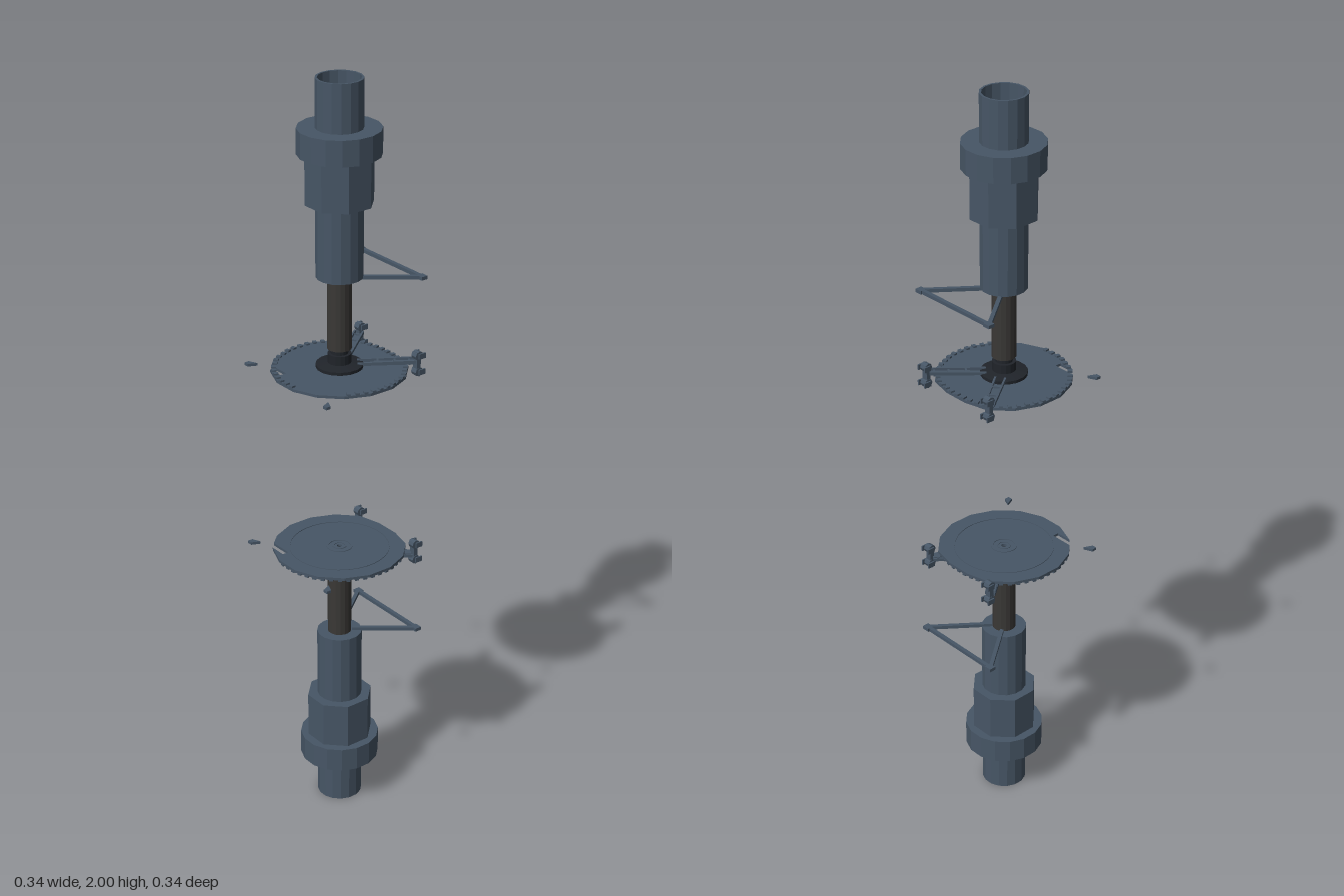
import * as THREE from 'three';

const steel = new THREE.MeshStandardMaterial({ color: 0x475666, flatShading: true, side: THREE.DoubleSide });
const dark = new THREE.MeshStandardMaterial({ color: 0x3a3836, flatShading: true, side: THREE.DoubleSide });
const black = new THREE.MeshStandardMaterial({ color: 0x20242a, flatShading: true, side: THREE.DoubleSide });

function add(group, name, geometry, material = steel) {
  const mesh = new THREE.Mesh(geometry, material);
  mesh.name = name;
  group.add(mesh);
  return mesh;
}

// Closed turned solid with a bore, from [radius, height] points; flats face the axes
function turned(points, sides) {
  const profile = [...points, points[0]].map(([r, y]) => new THREE.Vector2(r, y));
  return new THREE.LatheGeometry(profile, sides).rotateY(Math.PI / sides);
}

// Rectangular bar between two points
function bar(group, name, a, b, width, height, material = steel) {
  const start = new THREE.Vector3(...a), end = new THREE.Vector3(...b);
  const mesh = add(group, name, new THREE.BoxGeometry(width, height, start.distanceTo(end)), material);
  mesh.position.copy(start).add(end).multiplyScalar(0.5);
  mesh.lookAt(end);
  return mesh;
}

function box(group, name, size, position, material = steel) {
  const mesh = add(group, name, new THREE.BoxGeometry(...size), material);
  mesh.position.set(...position);
  return mesh;
}

// Flat plate in the xz plane with its top at the given height
function plate(group, name, points, top, depth, material = steel) {
  const shape = new THREE.Shape(points.map(([x, z]) => new THREE.Vector2(x, z)));
  if (name === 'disc') {
    const hole = new THREE.Path();
    hole.absarc(0, 0, 0.007, 0, Math.PI * 2, true);
    shape.holes.push(hole);
  }
  const geometry = new THREE.ExtrudeGeometry(shape, { depth, bevelEnabled: false, curveSegments: 6 });
  geometry.rotateX(Math.PI / 2);
  add(group, name, geometry, material).position.y = top;
}

const R = 0.172, BACK = -0.158;
const rim = (i) => {
  const a = (i + 0.5) * Math.PI / 8;
  return [R * Math.cos(a), Math.max(R * Math.sin(a), BACK)];
};

// One half, standing on its open pipe end; notch gives the side of the disc cut-out
function buildHalf(name, notch) {
  const half = new THREE.Group();
  half.name = name;

  // Column, collar and nut
  add(half, 'column', turned([[0.059, 0], [0.059, 0.5], [0.016, 0.5], [0.016, 0.06],
    [0.043, 0.06], [0.043, 0.045], [0.0535, 0.045], [0.0535, 0]], 16));
  add(half, 'collar', turned([[0.104, 0.122], [0.104, 0.187], [0.057, 0.187], [0.057, 0.122]], 16));
  add(half, 'nut', turned([[0.0866, 0.187], [0.0866, 0.31], [0.057, 0.31], [0.057, 0.187]], 8));

  // Piston rod and neck
  add(half, 'piston', turned([[0.031, 0.5], [0.031, 0.69], [0.007, 0.69], [0.007, 0.06],
    [0.016, 0.06], [0.016, 0.5]], 16), dark);
  add(half, 'neck', turned([[0.022, 0.69], [0.022, 0.703], [0.03, 0.703], [0.03, 0.727],
    [0.06, 0.732], [0.06, 0.74], [0.007, 0.74], [0.007, 0.69]], 16), black);

  // Triangular frame at the top of the column
  for (const s of [-1, 1]) {
    bar(half, 'frameArm', [s * 0.02, 0.503, -0.026], [s * 0.122, 0.503, -0.158], 0.01, 0.009);
    box(half, 'framePad', [0.02, 0.009, 0.018], [s * 0.122, 0.503, -0.16]);
  }
  box(half, 'frameCrossbar', [0.25, 0.009, 0.01], [0, 0.503, -0.16]);

  // Disc with one rectangular cut in its rim
  const outline = [];
  for (let i = 0; i < 16; i++) {
    if (i === 5) {
      outline.push([-0.097, 0.143], [-0.053, 0.143], [-0.053, 0.126], [-0.115, 0.126]);
    } else outline.push(rim(i));
  }
  plate(half, 'disc', notch < 0 ? outline : outline.map(([x, z]) => [-x, z]).reverse(), 0.751, 0.007);

  // Raised rings on the outer face of the disc
  for (const [r, w] of [[0.13, 0.002], [0.034, 0.006], [0.018, 0.004]]) {
    add(half, 'discRing', turned([[r, 0.75], [r, 0.7525], [r - w, 0.7525], [r - w, 0.75]], 32));
  }

  // Teeth along the disc rim
  for (let i = 0; i < 16; i++) {
    if (i === 4 || i === 5) continue;
    const [ax, az] = rim(i), [bx, bz] = rim(i + 1);
    for (const t of [1 / 6, 1 / 2, 5 / 6]) {
      const x = ax + (bx - ax) * t, z = az + (bz - az) * t;
      const tooth = box(half, 'rimTooth', [0.01, 0.005, 0.012], [x * 0.965, 0.742, z * 0.965]);
      tooth.rotation.y = Math.atan2(x, z);
    }
  }

  for (const s of [-1, 1]) {
    // Sloping twin-rail arms from the hub to the brackets
    for (const d of [-0.01, 0.01]) {
      bar(half, 'armRail', [s * (0.026 + d), 0.731, -0.036 + d * 0.75],
        [s * (0.112 + d), 0.725, -0.15 + d * 0.5], 0.005, 0.008);
    }
    bar(half, 'armWeb', [s * 0.05, 0.733, -0.068], [s * 0.112, 0.73, -0.148], 0.022, 0.004);
    for (const t of [0.35, 0.65, 0.9]) {
      const rung = box(half, 'armRung', [0.026, 0.007, 0.005],
        [s * (0.026 + 0.086 * t), 0.729, -0.036 - 0.114 * t]);
      rung.rotation.y = -s * 0.64;
    }

    // Bracket with a knob above and below
    box(half, 'bracketPlate', [0.016, 0.062, 0.012], [s * 0.115, 0.733, -0.154]);
    for (const y of [0.712, 0.755]) {
      const knob = add(half, 'bracketKnob', new THREE.CylinderGeometry(0.012, 0.012, 0.018, 8));
      knob.rotation.z = Math.PI / 2;
      knob.position.set(s * 0.115, y, -0.155);
      for (const e of [-1, 1]) {
        box(half, 'knobLug', [0.004, 0.014, 0.02], [s * 0.115 + e * 0.012, y, -0.161]);
      }
    }

    // Small detached rim chips at the front corners
    const chip = [[0.145, 0.147], [0.168, 0.157], [0.168, 0.17], [0.155, 0.17]];
    plate(half, 'rimChip', s > 0 ? chip : chip.map(([x, z]) => [-x, z]).reverse(), 0.75, 0.007);
  }
  return half;
}

export function createModel() {
  const model = new THREE.Group();
  model.name = 'doublePiston';
  const lower = buildHalf('lowerHalf', -1);
  // The upper half is turned over, so its cut-out is built on the other side
  const upper = buildHalf('upperHalf', 1);
  upper.rotation.z = Math.PI;
  upper.position.y = 2;
  model.add(lower, upper);
  return model;
}
